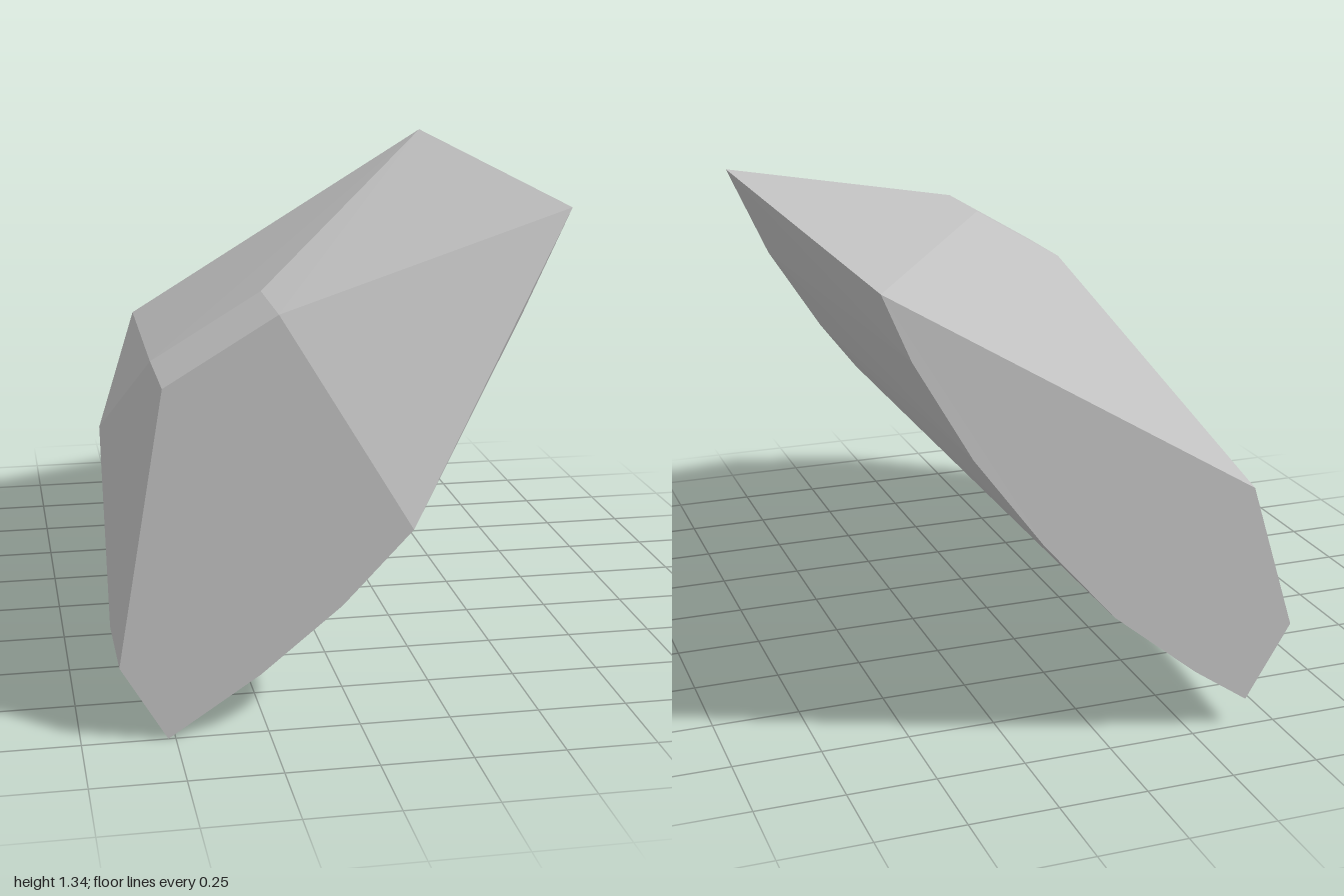
import * as THREE from 'three';
import { ConvexGeometry } from 'three/addons/geometries/ConvexGeometry.js';

// Wedge-shaped faceted block: the hull of three cross-sections along z.
export function createModel() {
  const group = new THREE.Group();
  group.name = 'facetedBlock';

  // lower curve and left flank, shared by the two front sections
  const lower = [[0.14, 0.545], [-0.05, 0.345], [-0.27, 0.165], [-0.52, 0], [-0.645, 0.21], [-0.52, 0.96], [-0.22, 1.14]];
  // overhanging tip, which begins behind the front bevel
  const tip = [[0.64, 1.34], [0.51, 1.055], [0.34, 0.79]];
  // rear end
  const rear = [
    [0.632, 1.34], [0.555, 1.16], [0.395, 0.885], [0.2, 0.625], [-0.005, 0.39],
    [-0.25, 0.19], [-0.41, 0.08], [-0.54, 0.29], [-0.41, 0.71],
  ];

  const at = (points, z) => points.map(([x, y]) => new THREE.Vector3(x, y, z));
  const geometry = new ConvexGeometry([
    ...at(lower, 1),
    ...at([...tip, ...lower], 0.71),
    ...at(rear, -1),
  ]);

  const stone = new THREE.MeshStandardMaterial({ color: 0xc0c0c0 });
  stone.name = 'light grey';
  const block = new THREE.Mesh(geometry, stone);
  block.name = 'block';
  group.add(block);
  return group;
}
